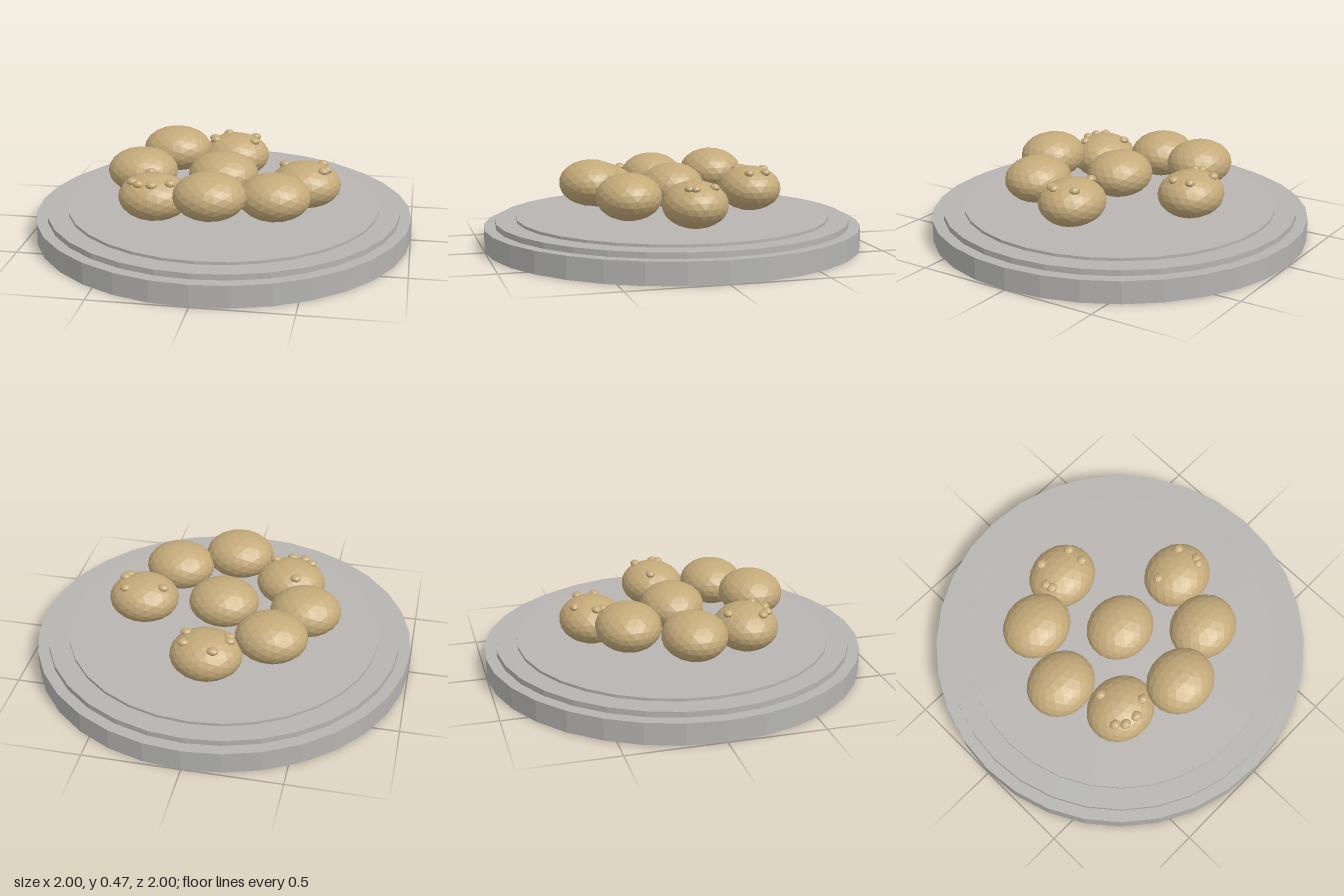
import * as THREE from 'three';

export function createModel() {
  const model = new THREE.Group();
  const stone = new THREE.MeshStandardMaterial({ color: 0xb5b4b1, flatShading: true });
  stone.name = 'grey stone';
  const warmStone = new THREE.MeshStandardMaterial({ color: 0xb8b4b1, flatShading: true });
  warmStone.name = 'warm grey stone';
  const tan = new THREE.MeshStandardMaterial({ color: 0xc4aa7a, flatShading: true });
  tan.name = 'tan';

  const add = (name, geometry, material, x, y, z, parent = model) => {
    const mesh = new THREE.Mesh(geometry, material);
    mesh.name = name;
    mesh.position.set(x, y, z);
    parent.add(mesh);
    return mesh;
  };

  // Stepped round base: radius, bottom, top
  [
    ['baseDisc', 1, 0, 0.115, stone],
    ['middleDisc', 0.94, 0.115, 0.145, stone],
    ['topDisc', 0.83, 0.145, 0.16, warmStone],
  ].forEach(([name, r, y0, y1, material]) => {
    add(name, new THREE.CylinderGeometry(r, r, y1 - y0, 32), material, 0, (y0 + y1) / 2, 0);
  });

  // Squashed balls: seven around a ring of eight places, one in the middle
  const ballGeometry = new THREE.IcosahedronGeometry(1, 3).scale(0.187, 0.121, 0.168);
  const bumpGeometry = new THREE.IcosahedronGeometry(1, 1).scale(0.03, 0.02, 0.026);

  // Bump offsets (x, z) from the centre of each bumpy ball
  const bumps = {
    0: [[-0.115, -0.035], [0.083, -0.075], [0.11, 0.03], [0.095, 0.058]],
    3: [[-0.04, -0.107], [-0.1, 0.058], [-0.06, 0.094], [0.008, 0.103], [0.095, 0.063]],
    6: [[-0.055, -0.097], [0.105, -0.052], [0.11, 0.04], [-0.12, 0.005], [-0.11, 0.04]],
  };

  for (let i = 0; i < 8; i++) {
    const ring = i < 7 ? 0.438 : 0;
    const angle = (i * Math.PI) / 4;
    const ball = new THREE.Group();
    ball.name = i < 7 ? `ringBall${i + 1}` : 'middleBall';
    ball.position.set(ring * Math.cos(angle), 0.281 + (i % 3) * 0.032, ring * Math.sin(angle));
    add('ballBody', ballGeometry, tan, 0, 0, 0, ball);
    (bumps[i] || []).forEach(([x, z]) => add('bump', bumpGeometry, tan, x, 0.094, z, ball));
    model.add(ball);
  }
  return model;
}
